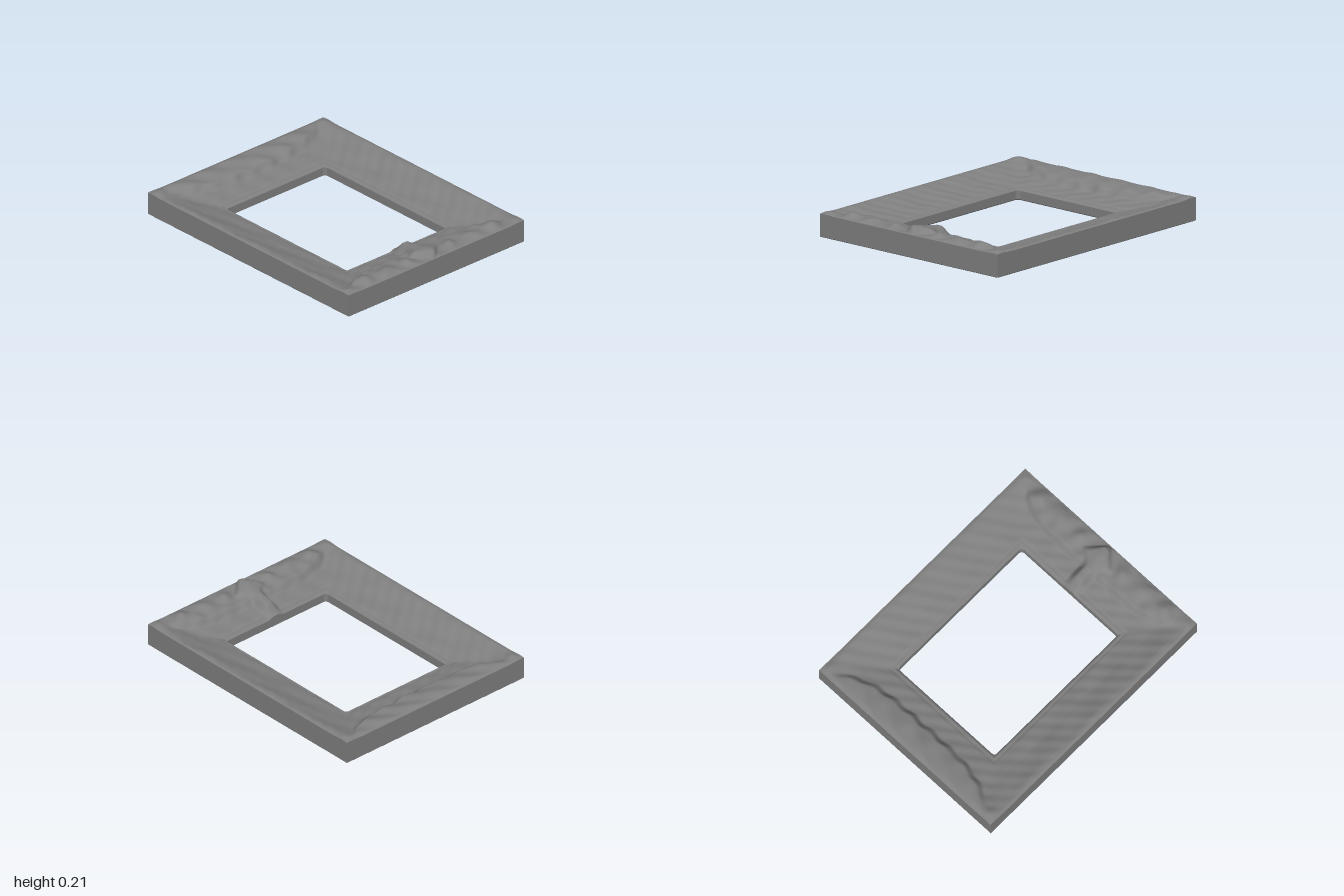
import * as THREE from 'three';
import { toCreasedNormals } from 'three/addons/utils/BufferGeometryUtils.js';

const OUT = [0.8, 1], IN = [0.45, 0.6], SIDE = 120, ROWS = 56, R = 0.025;
const step = THREE.MathUtils.smoothstep;
const bump = (d, w) => Math.exp(-(d * d) / (w * w));

// Moulding section from the opening (0) to the outer edge (1)
const PROFILE = [[0, 0.068], [0.04, 0.082], [0.09, 0.082], [0.14, 0.09], [0.25, 0.098],
  [0.45, 0.113], [0.7, 0.142], [0.86, 0.161], [0.94, 0.165], [1, 0.16]];
function profileHeight(u) {
  let i = 1;
  while (i < PROFILE.length - 1 && PROFILE[i][0] < u) i++;
  const [u0, y0] = PROFILE[i - 1], [u1, y1] = PROFILE[i];
  return THREE.MathUtils.lerp(y0, y1, (u - u0) / (u1 - u0));
}

// Leafy lumps along the two carved crests: [x, z, radius, height]
const FRONT_LUMPS = [[0.57, 0.91, 0.06, 0.033], [0.39, 0.92, 0.06, 0.028], [0.2, 0.91, 0.05, 0.02],
  [0.48, 0.83, 0.05, 0.012], [0.29, 0.82, 0.05, 0.01], [0.66, 0.88, 0.04, 0.008]];
const BACK_LUMPS = [[0.5, -0.86, 0.06, 0.008], [0.32, -0.85, 0.06, 0.008], [0.1, -0.86, 0.07, 0.01]];
const lumps = (list, ax, z) =>
  list.reduce((sum, [x, lz, r, h]) => sum + h * bump(Math.hypot(ax - x, z - lz), r), 0);

// Height of the carved face over any point of the frame
function faceHeight(x, z) {
  const ax = Math.abs(x), az = Math.abs(z);
  // Softened mitre: a smooth maximum of the two distances from the opening
  const ux = Math.max((ax - IN[0]) / 0.35, 0), uz = Math.max((az - IN[1]) / 0.4, 0);
  const u = Math.min((ux ** 8 + uz ** 8) ** 0.125, 1);
  const mid = step(u, 0, 0.2) * (1 - step(u, 0.85, 1));
  let y = profileHeight(u);
  // Worn, hand-carved ripples and slightly raised corners
  y += mid * 0.0022 * (Math.sin(19 * z + 7 * x) + Math.sin(31 * x - 11 * z + 1) + Math.sin(53 * z + 41 * x));
  y += 0.012 * bump(Math.hypot(ax - 0.76, az - 0.95), 0.05);
  const edge = (1 - step(az, 0.96, 1)) * (1 - step(ax, 0.62, 0.74));
  if (z < 0) {
    // Back garland with a scalloped lower border
    const border = 0.765 + 0.008 * Math.sin(38 * x) + 0.16 * (ax / 0.7) ** 4;
    const m = step(az, border, border + 0.055) * edge;
    const top = 0.15 + 0.022 * step(az, 0.78, 0.95) + 0.005 * Math.sin(24 * x - 30 * z);
    y += m * (top - y + lumps(BACK_LUMPS, ax, z));
  } else {
    // Front garland
    const border = 0.755 + 0.12 * (ax / 0.7) ** 5;
    const m = step(az, border, border + 0.05) * edge;
    const top = 0.152 + 0.012 * step(z, 0.78, 0.92) + 0.004 * Math.sin(45 * ax + 20 * z);
    y += m * (top - y + lumps(FRONT_LUMPS, ax, z));
    // Central leaf: narrow stem over the moulding, heart-shaped blade below
    const stem = (1 - step(ax, 0.015, 0.075)) * (1 - step(z, 0.86, 0.92));
    const stemTop = 0.085 + 0.08 * step(z, 0.6, 0.7) + 0.016 * step(z, 0.7, 0.8);
    y += stem * Math.max(0, stemTop - y);
    const half = z < 0.87 ? 0.14 * step(z, 0.76, 0.87) : 0.14 * Math.max(0, (0.99 - z) / 0.12);
    if (half > 0.005) {
      const blade = 1 - step(ax, half * 0.45, half + 0.01);
      const bladeTop = 0.172 + 0.025 * step(z, 0.78, 0.92) - 0.02 * step(z, 0.95, 0.99) + 0.009 * bump(ax, 0.04);
      y += blade * Math.max(0, bladeTop - y);
    }
  }
  return y;
}

// Plan point i of the ring lying u of the way from opening to outer edge
function ringPoint(i, u) {
  const side = Math.floor(i / SIDE), t = ((i % SIDE) / SIDE) * 2 - 1;
  const [a, b] = [[t, -1], [1, t], [-t, 1], [-1, -t]][side];
  let x = a * IN[0], z = b * IN[1];
  // Round the corners of the opening
  const dx = Math.abs(x) - (IN[0] - R), dz = Math.abs(z) - (IN[1] - R);
  if (dx > 0 && dz > 0) {
    const k = R / Math.hypot(dx, dz);
    x = Math.sign(x) * (IN[0] - R + dx * k);
    z = Math.sign(z) * (IN[1] - R + dz * k);
  }
  return [x + (a * OUT[0] - x) * u, z + (b * OUT[1] - z) * u];
}

// Skin a list of [u, y] rings; y may be a function of x and z
function skinRings(rings) {
  const n = SIDE * 4, pos = [], index = [];
  rings.forEach(([u, y], r) => {
    for (let i = 0; i < n; i++) {
      const [x, z] = ringPoint(i, u);
      pos.push(x, typeof y === 'function' ? y(x, z) : y, z);
      if (r === rings.length - 1) continue;
      const a = r * n + i, b = r * n + (i + 1) % n;
      index.push(a, a + n, b, b, a + n, b + n);
    }
  });
  const g = new THREE.BufferGeometry();
  g.setAttribute('position', new THREE.Float32BufferAttribute(pos, 3));
  g.setIndex(index);
  g.computeVertexNormals();
  return g;
}

export function createModel() {
  const group = new THREE.Group();
  group.name = 'pictureFrame';
  const material = new THREE.MeshStandardMaterial({ color: 0x808080 });
  const add = (name, geometry) => {
    const mesh = new THREE.Mesh(geometry, material);
    mesh.name = name;
    group.add(mesh);
  };

  // Carved upper face, outer edge to opening
  const face = [];
  for (let r = 0; r <= ROWS; r++) face.push([1 - r / ROWS, faceHeight]);
  add('carvedFace', skinRings(face));

  // Opening wall, underside with a shallow groove, and outer walls
  add('frameBody', toCreasedNormals(skinRings([
    [0, faceHeight], [0, 0.008], [0.03, 0], [0.07, 0.004], [0.12, 0.018],
    [0.2, 0.018], [0.26, 0.003], [0.29, 0], [0.99, 0], [1, 0.004], [1, faceHeight],
  ]), 0.35));

  return group;
}
